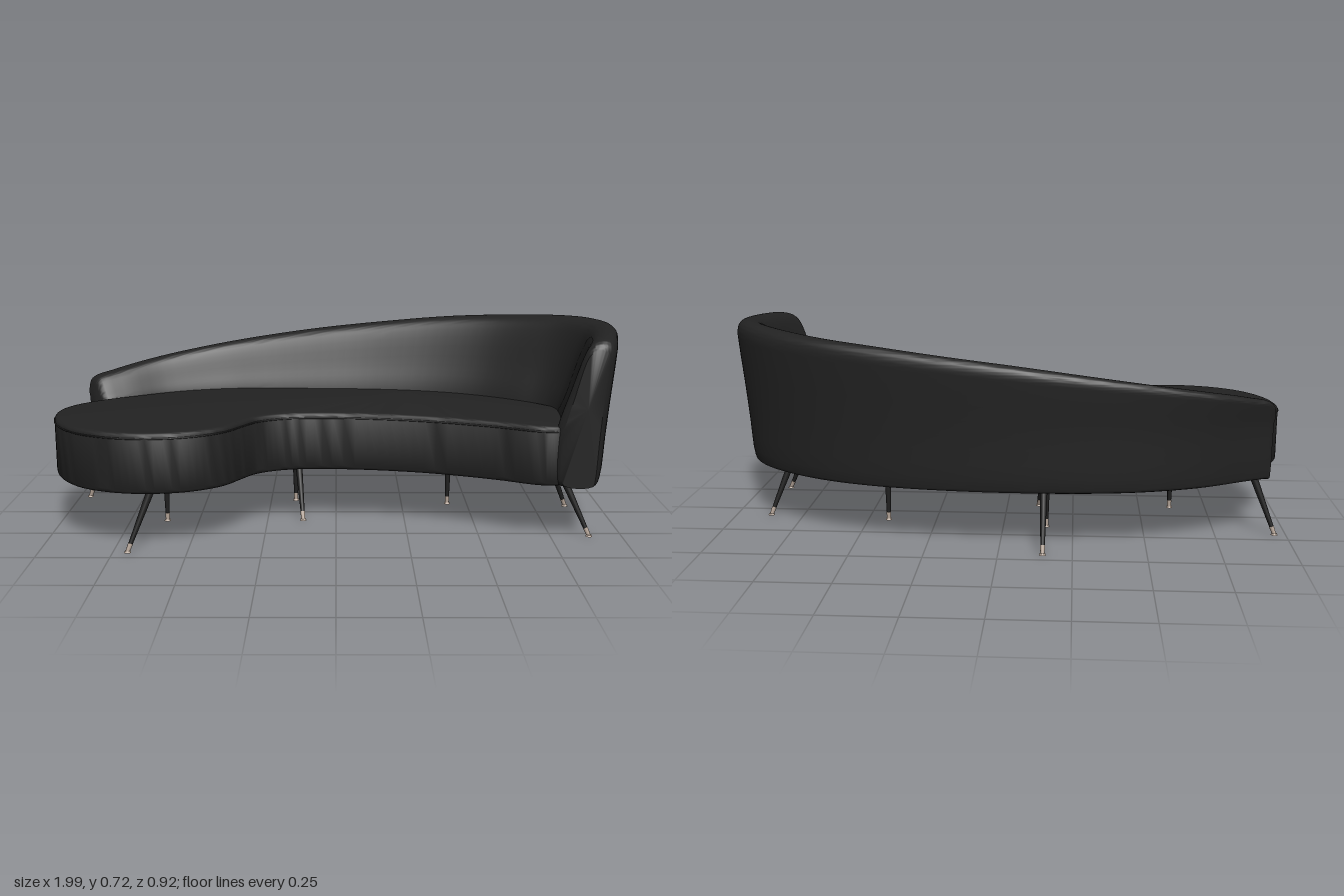
import * as THREE from 'three';
import { toCreasedNormals } from 'three/addons/utils/BufferGeometryUtils.js';

const SEAT_Y = 0.40, BASE_Y = 0.2;

// Seat plan as [x, z]; the rear edge tucks under the backrest
const seatPlan = [
  [-1, 0.1], [-0.965, 0.25], [-0.88, 0.365], [-0.76, 0.43], [-0.63, 0.45], [-0.49, 0.425],
  [-0.38, 0.355], [-0.32, 0.265], [-0.275, 0.2], [-0.18, 0.15], [-0.05, 0.137], [0.15, 0.155],
  [0.35, 0.2], [0.55, 0.275], [0.7, 0.345], [0.77, 0.34], [0.8, 0.2], [0.81, 0.05],
  [0.75, -0.04], [0.6, -0.16], [0.4, -0.26], [0.2, -0.31], [-0.1, -0.33], [-0.4, -0.325],
  [-0.6, -0.27], [-0.75, -0.185], [-0.88, -0.1], [-0.97, 0.0],
];

// Backrest stations: outer x, outer z, inner x, inner z, top height
const stations = [
  [-0.945, -0.19, -0.905, -0.14, 0.43], [-0.935, -0.205, -0.87, -0.12, 0.475],
  [-0.86, -0.25, -0.79, -0.15, 0.5], [-0.7, -0.335, -0.64, -0.235, 0.535],
  [-0.5, -0.4, -0.45, -0.295, 0.57], [-0.3, -0.437, -0.28, -0.305, 0.6],
  [-0.05, -0.45, -0.06, -0.3, 0.633], [0.2, -0.435, 0.16, -0.285, 0.66],
  [0.45, -0.395, 0.36, -0.245, 0.685], [0.65, -0.33, 0.53, -0.175, 0.7],
  [0.82, -0.23, 0.67, -0.08, 0.713], [0.93, -0.115, 0.76, -0.01, 0.72],
  [0.985, 0, 0.785, 0.06, 0.72], [0.99, 0.1, 0.785, 0.12, 0.718],
  [0.965, 0.22, 0.775, 0.22, 0.713], [0.94, 0.31, 0.755, 0.3, 0.705],
  [0.925, 0.345, 0.745, 0.335, 0.695], [0.905, 0.362, 0.765, 0.358, 0.67],
];

// Backrest section: [0 inner .. 1 outer, -1 base .. 0 seat level .. 1 top]
const section = [
  [0.1, -1], [0.76, -1], [0.8, -0.93], [0.88, 0], [0.99, 0.75], [1, 0.87], [0.97, 0.95],
  [0.88, 1], [0.7, 1], [0.56, 0.95], [0.46, 0.85], [0.22, 0.4], [0.06, 0.1], [0, -0.1], [0, -0.9],
];

// Legs: top x, top z, foot x, foot z
const legs = [
  [-0.88, -0.165, -0.96, -0.195], [-0.62, 0.4, -0.7, 0.45], [-0.615, 0.105, -0.615, 0.105],
  [-0.14, 0, -0.12, 0.1], [-0.155, -0.15, -0.155, -0.15], [-0.15, -0.36, -0.15, -0.45],
  [0.425, -0.105, 0.425, -0.105], [0.79, 0.24, 0.885, 0.28], [0.79, -0.04, 0.87, -0.075],
];

function mesh(name, geometry, material) {
  const m = new THREE.Mesh(geometry, material);
  m.name = name;
  return m;
}

function seatGeometry(curve) {
  const shape = new THREE.Shape(curve.getPoints(140).slice(0, -1).map(p => new THREE.Vector2(p.x, -p.z)));
  const b = 0.018;
  const g = new THREE.ExtrudeGeometry(shape, {
    depth: 0.21 - 2 * b, bevelSize: b, bevelThickness: b, bevelOffset: -b, bevelSegments: 4,
  });
  g.rotateX(-Math.PI / 2).translate(0, BASE_Y + b, 0);
  return toCreasedNormals(g, 0.7);
}

// Sweep the section through the stations and close both ends
function backGeometry() {
  const spline = (pts, closed = false) => new THREE.CatmullRomCurve3(pts, closed, 'centripetal');
  const outer = spline(stations.map(s => new THREE.Vector3(s[0], s[4], s[1])));
  const inner = spline(stations.map(s => new THREE.Vector3(s[2], 0, s[3])));
  const prof = spline(section.map(([u, f]) => new THREE.Vector3(u, f, 0)), true).getPoints(60).slice(0, -1);
  const n = prof.length, steps = 85, pos = [], idx = [];
  for (let i = 0; i <= steps; i++) {
    const o = outer.getPoint(i / steps), q = inner.getPoint(i / steps);
    for (const { x: u, y: f } of prof) {
      const y = f < 0 ? SEAT_Y + f * (SEAT_Y - BASE_Y - 0.003) : SEAT_Y + f * (o.y - SEAT_Y);
      pos.push(q.x + (o.x - q.x) * u, y, q.z + (o.z - q.z) * u);
    }
  }
  for (let i = 0; i < steps; i++) for (let j = 0; j < n; j++) {
    const k = (j + 1) % n, a = i * n + j, b = i * n + k;
    idx.push(a, b, a + n, b, b + n, a + n);
  }
  for (const end of [0, steps]) {
    const c = pos.length / 3, mid = [0, 0, 0];
    for (let j = 0; j < n; j++) for (let d = 0; d < 3; d++) mid[d] += pos[(end * n + j) * 3 + d] / n;
    pos.push(...mid);
    for (let j = 0; j < n; j++) {
      const a = end * n + j, b = end * n + (j + 1) % n;
      if (end) idx.push(c, a, b); else idx.push(c, b, a);
    }
  }
  const g = new THREE.BufferGeometry();
  g.setAttribute('position', new THREE.Float32BufferAttribute(pos, 3));
  g.setIndex(idx);
  return toCreasedNormals(g, 0.8);
}

// Tapered rod between two points
function rod(name, from, to, r0, r1, material) {
  const dir = to.clone().sub(from);
  const m = mesh(name, new THREE.CylinderGeometry(r1, r0, dir.length(), 16), material);
  m.position.copy(from).addScaledVector(dir, 0.5);
  m.quaternion.setFromUnitVectors(new THREE.Vector3(0, 1, 0), dir.normalize());
  return m;
}

export function createModel() {
  const upholstery = new THREE.MeshStandardMaterial({ color: 0x222222 });
  upholstery.name = 'black upholstery';
  const lacquer = new THREE.MeshStandardMaterial({ color: 0x1e1e1e });
  lacquer.name = 'black lacquer';
  const metal = new THREE.MeshStandardMaterial({ color: 0xb5a598 });
  metal.name = 'warm metal';

  const sofa = new THREE.Group();
  sofa.name = 'curvedSofa';

  // Seat with a fine seam around its upper edge
  const plan = new THREE.CatmullRomCurve3(seatPlan.map(([x, z]) => new THREE.Vector3(x, 0, z)), true, 'centripetal');
  sofa.add(mesh('seat', seatGeometry(plan), upholstery));
  const seam = mesh('seatSeam', new THREE.TubeGeometry(plan, 160, 0.003, 6, true), upholstery);
  seam.position.y = 0.392;
  sofa.add(seam);

  // Backrest wrapping into the arm
  sofa.add(mesh('backrest', backGeometry(), upholstery));

  // Splayed legs with metal tips and round glides
  for (const [tx, tz, fx, fz] of legs) {
    const leg = new THREE.Group();
    leg.name = 'leg';
    const foot = new THREE.Vector3(fx, 0.003, fz), top = new THREE.Vector3(tx, 0.21, tz);
    const joint = foot.clone().lerp(top, 0.13);
    leg.add(rod('legShaft', joint, top, 0.0075, 0.0135, lacquer));
    leg.add(rod('legTip', foot, joint, 0.007, 0.0085, metal));
    const glide = mesh('legGlide', new THREE.CylinderGeometry(0.009, 0.012, 0.006, 16), metal);
    glide.position.set(fx, 0.003, fz);
    leg.add(glide);
    sofa.add(leg);
  }
  return sofa;
}
